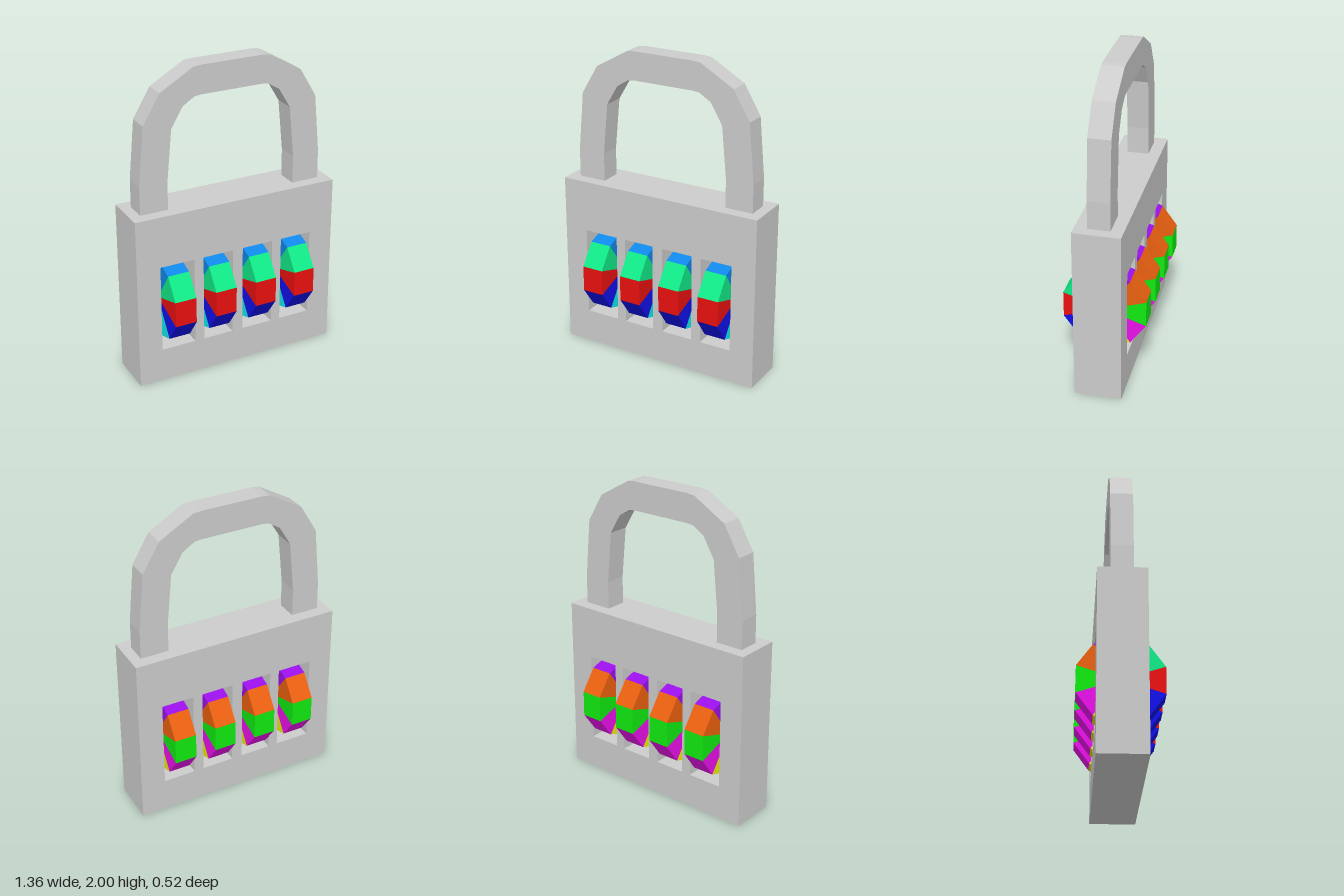
import * as THREE from 'three';

const material = (color = 0xcccccc) => new THREE.MeshStandardMaterial({ color, flatShading: true });

// Extrude a shape in the xy plane, centred on z = 0
function slab(name, shape, depth) {
  const geometry = new THREE.ExtrudeGeometry(shape, { depth, bevelEnabled: false });
  geometry.translate(0, 0, -depth / 2);
  const mesh = new THREE.Mesh(geometry, material());
  mesh.name = name;
  return mesh;
}

function rectangle(path, x0, y0, x1, y1) {
  path.moveTo(x0, y0);
  path.lineTo(x1, y0);
  path.lineTo(x1, y1);
  path.lineTo(x0, y1);
  path.closePath();
  return path;
}

// Ten-sided number wheel: one coloured wedge per face, starting at the front and turning upwards
const DIAL_COLORS = [0xea1010, 0x10ea88, 0x1088ea, 0x9a10ea, 0xea6010,
  0x10ea10, 0xea10ea, 0xeaea10, 0x10eaea, 0x1010ea];

function createDial(radius, width) {
  const dial = new THREE.Group();
  const step = (Math.PI * 2) / DIAL_COLORS.length;
  DIAL_COLORS.forEach((color, i) => {
    const geometry = new THREE.CylinderGeometry(radius, radius, width, 1, 1, false, (i - 0.5) * step, step);
    geometry.rotateZ(Math.PI / 2);
    const wedge = new THREE.Mesh(geometry, material(color));
    wedge.name = `dialFace${i}`;
    dial.add(wedge);
  });
  return dial;
}

export function createModel() {
  const lock = new THREE.Group();
  lock.name = 'combinationPadlock';
  const dialY = 0.513;

  // Body with four windows right through it
  const windows = [[-0.525, -0.297], [-0.235, -0.033], [0.037, 0.247], [0.31, 0.52]];
  const bodyShape = rectangle(new THREE.Shape(), -0.68, 0, 0.68, 1.13);
  for (const [x0, x1] of windows) {
    bodyShape.holes.push(rectangle(new THREE.Path(), x0, 0.22, x1, 0.797));
  }
  lock.add(slab('body', bodyShape, 0.294));

  // Shackle: right half outline, mirrored for the other half
  const outer = [[0.612, 1.13], [0.612, 1.31], [0.577, 1.687], [0.468, 1.87], [0.25, 1.995], [0.2, 2]];
  const inner = [[0.43, 1.13], [0.43, 1.31], [0.398, 1.64], [0.322, 1.767], [0.245, 1.815], [0.2, 1.82]];
  const mirror = (points) => points.map(([x, y]) => [-x, y]).reverse();
  const outline = [...outer, ...mirror(outer), ...mirror(inner).reverse(), ...inner.slice().reverse()];
  const shackleShape = new THREE.Shape(outline.map(([x, y]) => new THREE.Vector2(x, y)));
  lock.add(slab('shackle', shackleShape, 0.138));

  // Axle carrying the dials
  const axle = new THREE.Mesh(new THREE.CylinderGeometry(0.05, 0.05, 1.06, 12), material());
  axle.name = 'axle';
  axle.rotation.z = Math.PI / 2;
  axle.position.y = dialY;
  lock.add(axle);

  // Dials
  [-0.411, -0.134, 0.145, 0.421].forEach((x, i) => {
    const dial = createDial(0.271, 0.141);
    dial.name = `dial${i + 1}`;
    dial.position.set(x, dialY, 0);
    lock.add(dial);
  });

  return lock;
}
